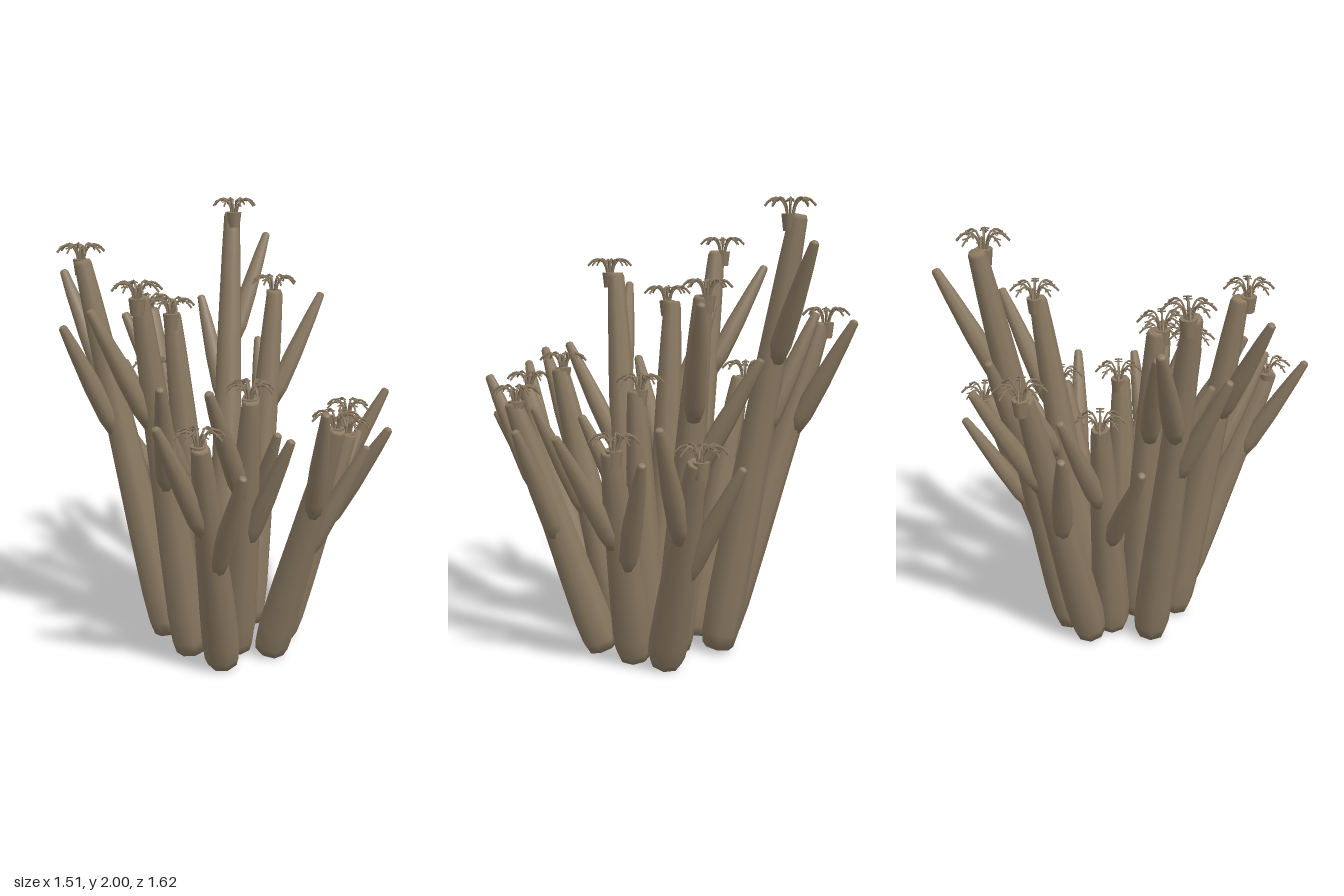
import * as THREE from 'three';
import { mergeGeometries } from 'three/addons/utils/BufferGeometryUtils.js';

const V = (x, y, z) => new THREE.Vector3(x, y, z);
const material = new THREE.MeshStandardMaterial({ color: 0x8b7a62, roughness: 0.9 });
const UP = V(0, 1, 0);

// stalks: base [x, z], polyp [x, top y, z], branch tips [x, y, z]
const STALKS = [
  { base: [-0.11, -0.29], polyp: [-0.22, 2.0, -0.59], off: [-0.025, -0.025], tips: [[-0.15, 1.82, -0.8], [-0.4, 1.52, -0.58]] },
  { base: [0.2, -0.3], polyp: [0.35, 1.05, -0.7], tips: [[0.2, 0.95, -0.78], [0.55, 1.13, -0.69]] },
  { base: [-0.2, -0.2], polyp: [-0.61, 1.53, -0.44], tips: [[-0.59, 1.48, -0.63], [-0.67, 1.22, -0.29]] },
  { base: [-0.14, -0.1], polyp: [-0.4, 1.28, -0.14], off: [0.03, 0], tips: [[-0.54, 1.08, 0.03], [-0.5, 1.3, -0.3]] },
  { base: [0.07, -0.2], polyp: [0.08, 1.67, -0.42], tips: [[0.25, 1.58, -0.58], [-0.08, 1.34, -0.58]] },
  { base: [0.26, -0.16], polyp: [0.5, 1.06, -0.34], tips: [[0.49, 0.96, -0.51], [0.73, 1.06, -0.26]] },
  { base: [0.3, 0.02], polyp: [0.65, 1.22, 0.15], tips: [[0.74, 1.05, 0.02], [0.68, 1.25, 0.32]] },
  { base: [0.15, 0.07], polyp: [0.32, 1.33, 0.28], tips: [[0.5, 1.1, 0.25], [0.26, 1.33, 0.52]] },
  { base: [0.17, 0.23], polyp: [0.28, 1.21, 0.63], tips: [[0.18, 1.24, 0.79], [0.47, 1.04, 0.62]] },
  { base: [-0.01, 0.2], polyp: [-0.09, 1.74, 0.48], off: [-0.01, -0.035], tips: [[-0.27, 1.62, 0.56], [0.08, 1.34, 0.59]] },
  { base: [-0.2, 0.08], polyp: [-0.56, 1.84, 0.2], off: [0.02, 0.02], tips: [[-0.74, 1.7, 0.09], [-0.55, 1.5, 0.37]] },
  { base: [-0.03, 0.02], polyp: [-0.15, 1.62, 0.12], off: [-0.01, -0.025], tips: [[-0.41, 1.53, 0.09], [-0.15, 1.28, 0.34]] },
  { base: [0.1, -0.05], polyp: [0.15, 1.25, -0.06], tips: [[0.36, 1.07, 0.09]] },
];

// tapered eight-sided limb between two points; profile rows are [radius, fraction of length]
function limb(name, from, to, profile) {
  const dir = to.clone().sub(from);
  const len = dir.length();
  const geometry = new THREE.LatheGeometry(profile.map(([r, t]) => new THREE.Vector2(r, t * len)), 8);
  const mesh = new THREE.Mesh(geometry, material);
  mesh.name = name;
  mesh.position.copy(from);
  mesh.quaternion.setFromUnitVectors(UP, dir.normalize());
  return mesh;
}

const STALK = [[0, 0], [0.07, 0.003], [0.081, 0.04], [0.085, 0.12], [0.079, 0.3],
  [0.069, 0.5], [0.06, 0.7], [0.047, 0.9], [0.039, 0.99], [0.033, 1], [0, 1]];
const BRANCH = [[0, 0], [0.034, 0.01], [0.045, 0.15], [0.042, 0.45], [0.029, 0.8], [0.019, 0.985], [0.012, 1], [0, 1]];

// small cup
const cupGeometry = new THREE.CylinderGeometry(0.036, 0.028, 0.07, 8).translate(0, -0.035, 0);

// one arching tentacle with paired side twigs
function tentacleGeometry() {
  const arc = new THREE.CatmullRomCurve3([
    V(0.012, -0.01, 0), V(0.022, 0.035, 0), V(0.045, 0.062, 0), V(0.075, 0.06, 0), V(0.105, 0.032, 0)]);
  const parts = [new THREE.TubeGeometry(arc, 8, 0.005, 4)];
  for (const t of [0.5, 0.75]) {
    for (const s of [-1, 1]) {
      const p = arc.getPoint(t);
      const end = p.clone().add(V(0.015, -0.008, s * 0.016));
      parts.push(new THREE.TubeGeometry(new THREE.LineCurve3(p, end), 1, 0.003, 4));
    }
  }
  return mergeGeometries(parts);
}

// ring of eight tentacles
const arm = tentacleGeometry();
const crownGeometry = mergeGeometries(
  Array.from({ length: 8 }, (_, i) => arm.clone().rotateY((i * Math.PI) / 4)));

function makePolyp(x, topY, z) {
  const polyp = new THREE.Group();
  polyp.name = 'polyp';
  const cup = new THREE.Mesh(cupGeometry, material);
  cup.name = 'polypCup';
  const tentacles = new THREE.Mesh(crownGeometry, material);
  tentacles.name = 'tentacles';
  polyp.add(cup, tentacles);
  polyp.position.set(x, topY - 0.068, z);
  return polyp;
}

export function createModel() {
  const model = new THREE.Group();
  model.name = 'branchingCoral';
  for (const { base, polyp, off = [0.012, 0.012], tips } of STALKS) {
    const colony = new THREE.Group();
    colony.name = 'coralStalk';
    const [px, py, pz] = polyp;
    const foot = V(base[0], 0.025, base[1]);
    const top = V(px + off[0], py - 0.07, pz + off[1]);
    colony.add(limb('stalk', foot, top, STALK));

    // side branches leave the stalk below their tips
    for (const tip of tips) {
      const end = V(...tip);
      const t = (end.y - 0.5 - foot.y) / (top.y - foot.y);
      const start = foot.clone().lerp(top, Math.min(t, 0.75));
      const out = end.clone().sub(start).setY(0).normalize();
      colony.add(limb('branch', start.addScaledVector(out, 0.03), end, BRANCH));
    }
    colony.add(makePolyp(px, py, pz));
    model.add(colony);
  }
  return model;
}
